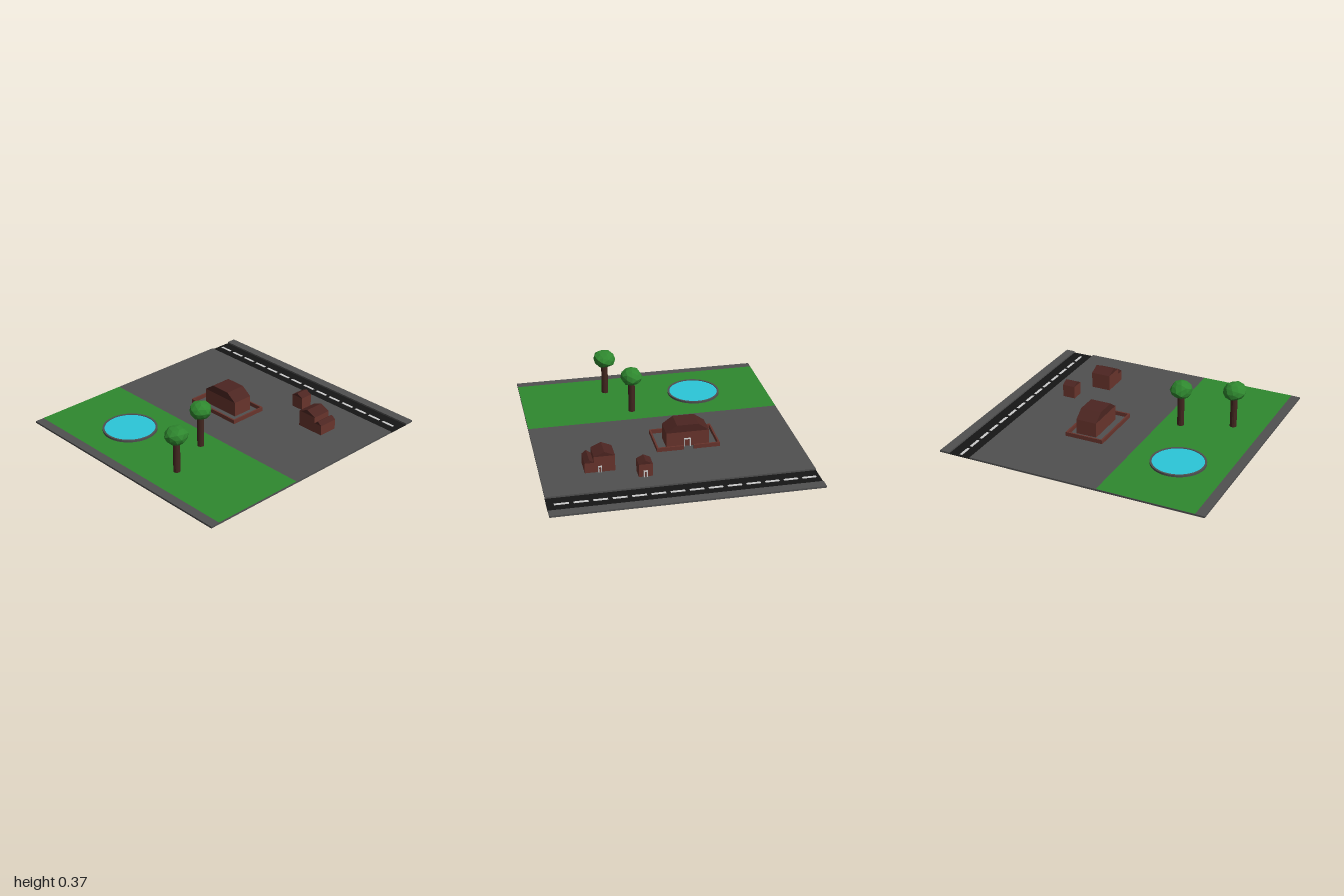
import * as THREE from 'three';

const paint = (color, side = THREE.FrontSide) =>
  new THREE.MeshStandardMaterial({ color, side, flatShading: true, roughness: 1 });
const MAT = {
  ground: paint(0x505050), grass: paint(0x2f882f), water: paint(0x2bc6d8, THREE.DoubleSide),
  road: paint(0x161616, THREE.DoubleSide), dash: paint(0xcccccc), wall: paint(0x68342c),
  roof: paint(0x4c2521), trunk: paint(0x42261f), leaf: paint(0x2f882f),
};
const GROUND = 0.013;

function add(parent, name, geometry, material) {
  const mesh = new THREE.Mesh(geometry, material);
  mesh.name = name;
  parent.add(mesh);
  return mesh;
}

// Box given by its limits on each axis
function box(parent, name, material, [x0, x1], [y0, y1], [z0, z1]) {
  const mesh = add(parent, name, new THREE.BoxGeometry(x1 - x0, y1 - y0, z1 - z0), material);
  mesh.position.set((x0 + x1) / 2, (y0 + y1) / 2, (z0 + z1) / 2);
  return mesh;
}

// Profile of [z, y] points extruded along x
function prism(parent, name, material, points, [x0, x1]) {
  const shape = new THREE.Shape(points.map(([z, y]) => new THREE.Vector2(z, y)));
  const geometry = new THREE.ExtrudeGeometry(shape, { depth: x1 - x0, bevelEnabled: false });
  geometry.rotateY(-Math.PI / 2).translate(x1, 0, 0);
  return add(parent, name, geometry, material);
}

// Walls with a pitched roof; ridge is the flat span along z (equal ends give a gable)
function building(parent, name, x, z, eave, top, ridge) {
  const group = new THREE.Group();
  group.name = name;
  box(group, 'walls', MAT.wall, x, [GROUND, eave], z);
  const crest = ridge[0] === ridge[1] ? [[ridge[0], top]] : [[ridge[1], top], [ridge[0], top]];
  prism(group, 'roof', MAT.roof, [[z[0], eave], [z[1], eave], ...crest], x);
  parent.add(group);
  return group;
}

// Two posts and a lintel standing against the right-hand wall
function doorFrame(parent, x, [z0, z1], top, t = 0.006) {
  const depth = [x, x + 0.01];
  box(parent, 'doorPost', MAT.dash, depth, [GROUND, top], [z0, z0 + t]);
  box(parent, 'doorPost', MAT.dash, depth, [GROUND, top], [z1 - t, z1]);
  box(parent, 'doorLintel', MAT.dash, depth, [top - t, top], [z0 + t, z1 - t]);
}

// Round faceted crown, each vertex nudged by a hash of its direction
function crownGeometry(seed) {
  const geometry = new THREE.IcosahedronGeometry(1, 1);
  const p = geometry.attributes.position;
  const v = new THREE.Vector3();
  for (let i = 0; i < p.count; i++) {
    v.fromBufferAttribute(p, i);
    const key = Math.round(v.x * 100) * 12.9 + Math.round(v.y * 100) * 78.2 + Math.round(v.z * 100) * 37.7;
    const r = Math.sin(key + seed) * 0.05 + 0.99;
    p.setXYZ(i, v.x * r * 0.083, v.y * r * 0.068, v.z * r * 0.083);
  }
  geometry.computeVertexNormals();
  return geometry;
}

function tree(parent, x, z, seed, size) {
  const group = new THREE.Group();
  group.name = 'tree';
  add(group, 'trunk', new THREE.CylinderGeometry(0.025, 0.025, 0.26, 12), MAT.trunk).position.y = GROUND + 0.13;
  const crown = add(group, 'crown', crownGeometry(seed), MAT.leaf);
  crown.position.y = 0.297;
  crown.rotation.y = seed;
  crown.scale.set(size, 1, size);
  group.position.set(x, 0, z);
  parent.add(group);
}

export function createModel() {
  const model = new THREE.Group();
  model.name = 'homestead';
  const span = [-0.938, 0.938];

  // Ground slabs, lawn and sunken road
  box(model, 'parkGround', MAT.ground, [-1, -0.22], [0, GROUND], span);
  box(model, 'yardGround', MAT.ground, [-0.22, 0.76], [0, GROUND], span);
  box(model, 'vergeGround', MAT.ground, [0.93, 1], [0, GROUND], span);
  const lawn = add(model, 'lawn', new THREE.PlaneGeometry(0.713, 1.874), MAT.grass);
  lawn.rotation.x = -Math.PI / 2;
  lawn.position.set(-0.5765, GROUND + 0.0012, 0);
  const road = add(model, 'road', new THREE.PlaneGeometry(0.17, 1.88), MAT.road);
  road.rotation.x = -Math.PI / 2;
  road.position.set(0.845, 0.001, 0);
  for (let i = 0; i < 14; i++) {
    const z = -0.914 + i * 0.131;
    box(model, 'roadDash', MAT.dash, [0.835, 0.855], [0.0015, 0.004], [z, z + 0.1]);
  }

  // Pond with a raised rim
  const pond = new THREE.Group();
  pond.name = 'pond';
  const rim = [[0.184, 0], [0.198, 0], [0.198, 0.016], [0.184, 0.016], [0.184, 0]];
  add(pond, 'pondRim', new THREE.LatheGeometry(rim.map(([r, y]) => new THREE.Vector2(r, y)), 48), MAT.ground);
  const water = add(pond, 'water', new THREE.CircleGeometry(0.186, 48), MAT.water);
  water.rotation.x = -Math.PI / 2;
  water.position.y = 0.012;
  pond.position.set(-0.572, GROUND, -0.38);
  model.add(pond);

  // Trees
  tree(model, -0.713, 0.287, 1.3, 1.04);
  tree(model, -0.361, 0.142, 4.1, 0.97);

  // Main house and its low yard wall with an entrance gap
  const house = building(model, 'mainHouse', [0.1, 0.257], [-0.302, 0.008], 0.125, 0.18, [-0.225, -0.07]);
  doorFrame(house, 0.257, [-0.168, -0.121], 0.075);
  const yard = new THREE.Group();
  yard.name = 'yardWall';
  const high = [GROUND, 0.043], t = 0.012;
  const [x0, x1, z0, z1] = [0.018, 0.31, -0.37, 0.086];
  box(yard, 'backWall', MAT.wall, [x0, x1], high, [z0, z0 + t]);
  box(yard, 'frontWall', MAT.wall, [x0, x1], high, [z1 - t, z1]);
  box(yard, 'rightWall', MAT.wall, [x0, x0 + t], high, [z0 + t, z1 - t]);
  box(yard, 'leftWallRear', MAT.wall, [x1 - t, x1], high, [z0 + t, -0.18]);
  box(yard, 'leftWallFront', MAT.wall, [x1 - t, x1], high, [-0.107, z1 - t]);
  model.add(yard);

  // Small hut
  const hut = building(model, 'hut', [0.529, 0.625], [0.18, 0.277], 0.108, 0.133, [0.2285, 0.2285]);
  doorFrame(hut, 0.625, [0.217, 0.244], 0.06);

  // Barn with a lower annex
  const barn = building(model, 'barn', [0.353, 0.5], [0.418, 0.566], 0.132, 0.164, [0.492, 0.492]);
  building(barn, 'barnAnnex', [0.353, 0.5], [0.566, 0.63], 0.088, 0.113, [0.598, 0.598]);
  doorFrame(barn, 0.5, [0.511, 0.537], 0.06);

  return model;
}
